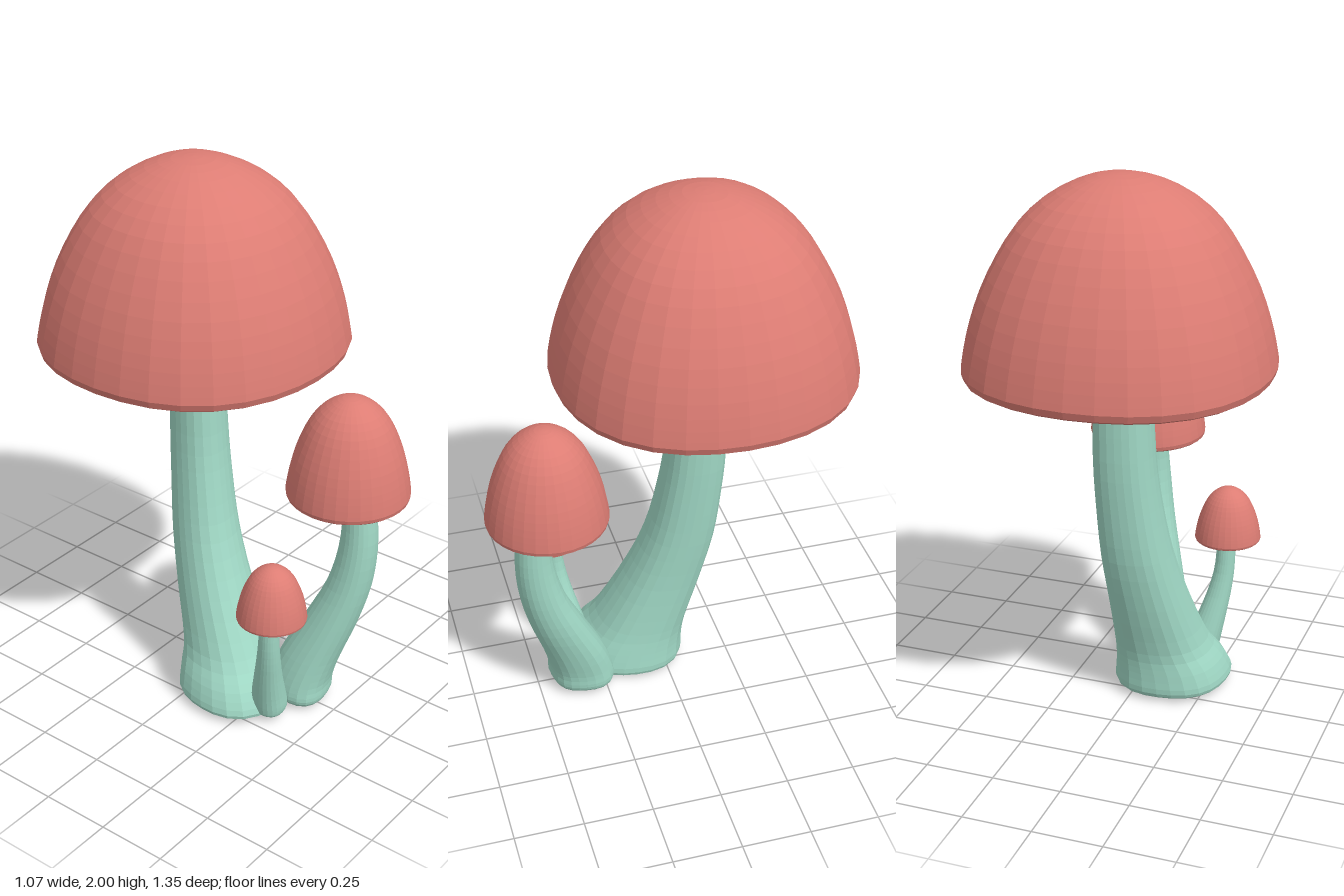
import * as THREE from 'three';

const capMaterial = new THREE.MeshStandardMaterial({ color: 0xdd7d74, flatShading: true });
const stemMaterial = new THREE.MeshStandardMaterial({ color: 0xa0d8c5, flatShading: true });

const toPoints = (list) => list.map(([x, y]) => new THREE.Vector2(x, y));

// Dome outline from just above the rim to the apex, radius 1 and height 1
const dome = new THREE.SplineCurve(toPoints([
  [1, 0.05], [0.98, 0.14], [0.94, 0.27], [0.87, 0.43], [0.765, 0.60],
  [0.64, 0.75], [0.48, 0.87], [0.30, 0.95], [0.14, 0.99], [0, 1],
])).getPoints(18);
dome[18].x = 0;

// Sine of twice the angle around the y axis: +-1 on the diagonals
const diagonal = (x, z) => Math.sin(2 * Math.atan2(z, x));

// Cap with a flat underside, a collar ring and a hollow for the stem
function makeCap({ name, position, radius, height, collar, hollow, squareness }) {
  const cap = new THREE.Group();
  cap.name = name + 'Cap';
  const geometry = new THREE.LatheGeometry(
    [...toPoints([[collar * 0.97, 0.004], [0.955, 0], [0.985, 0.014]]), ...dome], 32);
  const vertices = geometry.attributes.position;
  for (let i = 0; i < vertices.count; i++) {
    const x = vertices.getX(i), z = vertices.getZ(i);
    const bulge = 1 + squareness * diagonal(x, z) ** 2;
    vertices.setX(i, x * bulge);
    vertices.setZ(i, z * bulge);
  }
  geometry.computeVertexNormals();
  const shell = new THREE.Mesh(geometry, capMaterial);
  shell.name = name + 'CapShell';
  const ring = new THREE.Mesh(new THREE.LatheGeometry(
    toPoints([[0, 0.43], [hollow, 0.43], [hollow, 0], [collar, 0], [collar, 0.02]]), 32), stemMaterial);
  ring.name = name + 'CapCollar';
  cap.add(shell, ring);
  cap.scale.set(radius, height, radius);
  cap.position.set(...position);
  return cap;
}

// Curved stem through level rings [x, y, z, radius], listed from the ground up;
// skew widens the rings along one diagonal, from its foot value to its top value
function makeStem({ name, rings, skew }) {
  const [x0, y0, z0, r0] = rings[0];
  // The lowest ring becomes a rounded foot
  const allRings = [
    [x0, y0, z0, r0 * 0.68], [x0, y0 + 0.01, z0, r0 * 0.89], [x0, y0 + 0.035, z0, r0],
    ...rings.slice(1),
  ];
  const curve = (points) => new THREE.CatmullRomCurve3(points, false, 'catmullrom', 0.5);
  const path = curve(allRings.map(([x, y, z]) => new THREE.Vector3(x, y, z)));
  const girth = curve(allRings.map((ring) => new THREE.Vector3(ring[3], 0, 0)));
  const geometry = new THREE.CylinderGeometry(1, 1, 1, 24, (allRings.length - 1) * 3);
  const vertices = geometry.attributes.position;
  for (let i = 0; i < vertices.count; i++) {
    const x = vertices.getX(i), z = vertices.getZ(i);
    const t = THREE.MathUtils.clamp(vertices.getY(i) + 0.5, 0, 1);
    const centre = path.getPoint(t);
    const d = diagonal(x, z);
    const r = girth.getPoint(t).x * (1 + THREE.MathUtils.lerp(...skew, t) * (1.2 * d * d - d));
    vertices.setXYZ(i, centre.x + x * r, centre.y, centre.z + z * r);
  }
  geometry.computeVertexNormals();
  const stem = new THREE.Mesh(geometry, stemMaterial);
  stem.name = name + 'Stem';
  return stem;
}

const large = {
  name: 'large', position: [0, 1.312, -0.14], radius: 0.535, height: 0.688,
  collar: 0.515, hollow: 0.42, squareness: 0.035, skew: [0.05, 0.05],
  rings: [
    [-0.114, 0, 0.129, 0.206], [-0.105, 0.11, 0.11, 0.19], [-0.085, 0.2, 0.073, 0.163],
    [-0.06, 0.4, -0.006, 0.138], [-0.035, 0.6, -0.067, 0.122], [-0.017, 0.8, -0.1, 0.111],
    [-0.006, 1.0, -0.12, 0.104], [-0.003, 1.3, -0.129, 0.097], [0, 1.6, -0.13, 0.095],
  ],
};

const medium = {
  name: 'medium', position: [0.108, 0.857, 0.455], radius: 0.22, height: 0.383,
  collar: 0.58, hollow: 0.52, squareness: 0, skew: [0.09, 0],
  rings: [
    [0.015, 0.01, 0.335, 0.117], [0.02, 0.1, 0.34, 0.115], [0.04, 0.2, 0.37, 0.11],
    [0.072, 0.35, 0.43, 0.098], [0.095, 0.5, 0.482, 0.082], [0.106, 0.65, 0.508, 0.07],
    [0.11, 0.8, 0.507, 0.062], [0.11, 1.02, 0.48, 0.058],
  ],
};

const small = {
  name: 'small', position: [-0.24, 0.493, 0.385], radius: 0.125, height: 0.212,
  collar: 0.58, hollow: 0.52, squareness: 0, skew: [0.05, 0],
  rings: [
    [-0.162, 0.02, 0.325, 0.065], [-0.175, 0.11, 0.33, 0.062], [-0.2, 0.2, 0.345, 0.052],
    [-0.223, 0.3, 0.362, 0.043], [-0.236, 0.4, 0.372, 0.037], [-0.24, 0.58, 0.378, 0.034],
  ],
};

export function createModel() {
  const model = new THREE.Group();
  model.name = 'mushroomCluster';
  for (const spec of [large, medium, small]) {
    const mushroom = new THREE.Group();
    mushroom.name = spec.name + 'Mushroom';
    mushroom.add(makeStem(spec), makeCap(spec));
    model.add(mushroom);
  }
  return model;
}
